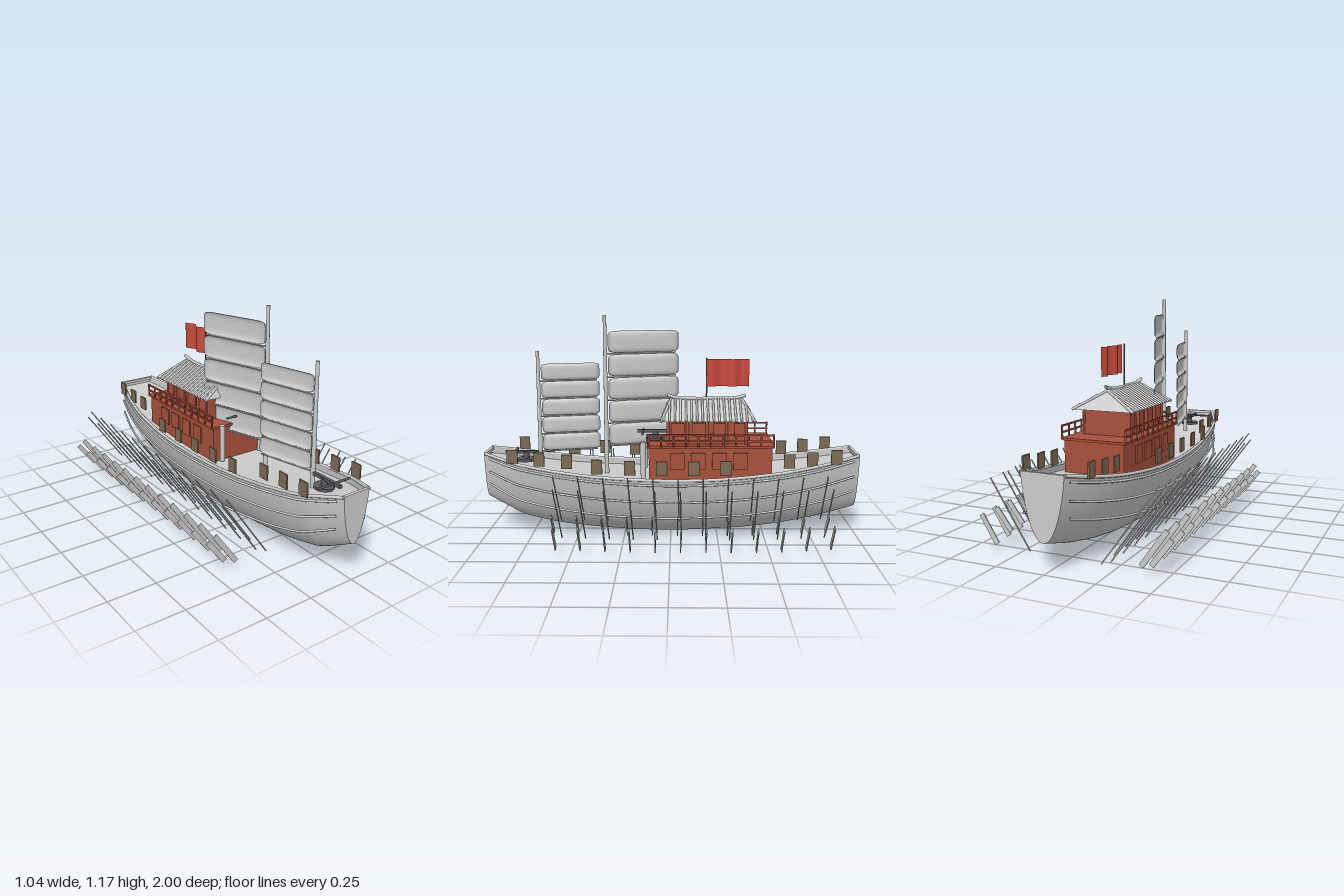
import * as THREE from 'three';
import { ParametricGeometry } from 'three/addons/geometries/ParametricGeometry.js';

const V = (x, y, z) => new THREE.Vector3(x, y, z);
const grey = new THREE.MeshStandardMaterial({ color: 0xcccccc, side: THREE.DoubleSide });
const flatGrey = new THREE.MeshStandardMaterial({ color: 0xcccccc, side: THREE.DoubleSide, flatShading: true });
const red = new THREE.MeshStandardMaterial({ color: 0xa8503c });
const flagRed = new THREE.MeshStandardMaterial({ color: 0xc84a3c, side: THREE.DoubleSide });
const brown = new THREE.MeshStandardMaterial({ color: 0x7d6b55 });
const iron = new THREE.MeshStandardMaterial({ color: 0x5a5c62 });

function add(parent, name, geometry, material, x = 0, y = 0, z = 0) {
  const m = new THREE.Mesh(geometry, material);
  m.name = name;
  m.position.set(x, y, z);
  parent.add(m);
  return m;
}
const box = (p, name, mat, w, h, d, x, y, z) => add(p, name, new THREE.BoxGeometry(w, h, d), mat, x, y, z);
const disc = (p, name, mat, r, h, x, y, z) => add(p, name, new THREE.CylinderGeometry(r, r, h, 24), mat, x, y, z);

// Round bar between two points
function rod(p, name, mat, a, b, r, r2 = r, sides = 8) {
  const m = add(p, name, new THREE.CylinderGeometry(r2, r, a.distanceTo(b), sides), mat);
  m.position.copy(a).add(b).multiplyScalar(0.5);
  m.quaternion.setFromUnitVectors(V(0, 1, 0), b.clone().sub(a).normalize());
  return m;
}
function group(parent, name) {
  const g = new THREE.Group();
  g.name = name;
  parent.add(g);
  return g;
}

// Hull stations every 0.2 along z: half width, sheer height, keel height
const stations = new THREE.CatmullRomCurve3([
  V(0.108, 0.445, 0.14), V(0.165, 0.405, 0.085), V(0.205, 0.375, 0.045), V(0.225, 0.355, 0.02),
  V(0.235, 0.342, 0.008), V(0.235, 0.338, 0), V(0.23, 0.342, 0.004), V(0.215, 0.352, 0.018),
  V(0.193, 0.372, 0.04), V(0.163, 0.402, 0.085), V(0.078, 0.445, 0.19)]);
function station(z) {
  const p = stations.getPoint((z + 1) / 2);
  return { w: p.x, top: p.y, keel: Math.max(0, p.z) };
}
// Point on the hull skin: f runs -1 (one rail) through 0 (keel) to 1 (other rail)
function skin(f, z) {
  const s = station(z), t = f * f;
  const bulge = (Math.abs(f) + Math.sqrt(Math.max(0, 1 - (1 - t) ** 2))) / 2;
  return V(Math.sign(f) * s.w * bulge, s.keel + (s.top - s.keel) * t, z);
}

function buildHull(root) {
  const hull = group(root, 'hull');
  add(hull, 'hullSkin', new ParametricGeometry((u, v, t) => t.copy(skin(v * 2 - 1, u * 2 - 1)), 60, 40), grey);
  for (const z of [-1, 1]) {
    const pts = [];
    for (let i = 0; i <= 32; i++) {
      const p = skin(i / 16 - 1, z);
      pts.push(new THREE.Vector2(p.x, p.y));
    }
    add(hull, z > 0 ? 'bowPlate' : 'sternTransom', new THREE.ShapeGeometry(new THREE.Shape(pts)), grey, 0, 0, z);
  }
  add(hull, 'deck', new ParametricGeometry((u, v, t) => {
    const z = (u * 2 - 1) * 0.995, s = station(z);
    t.set((v * 2 - 1) * (s.w - 0.008), s.top - 0.03, z);
  }, 40, 2), grey);
  for (const side of [-1, 1]) {
    add(hull, 'bulwark', new ParametricGeometry((u, v, t) => {
      const z = (u * 2 - 1) * 0.995, s = station(z);
      t.set(side * (s.w - 0.014), s.top - 0.03 * v, z);
    }, 40, 1), grey);
    // Rail and side strakes
    [[1, 0.995, 0.009, 0.99], [0.92, 0.97, 0.006, 1], [0.65, 0.97, 0.006, 0.99], [0.4, 0.97, 0.006, 0.98]].forEach(([h, end, r, k], i) => {
      const pts = [];
      for (let j = 0; j <= 24; j++) {
        const z = end * (j / 12 - 1), s = station(z);
        pts.push(V(side * s.w * k, s.keel + (s.top - s.keel) * h, z));
      }
      add(hull, i ? 'strake' : 'rail', new THREE.TubeGeometry(new THREE.CatmullRomCurve3(pts), 60, r, 6), grey);
    });
  }
  box(hull, 'sternRail', grey, 0.21, 0.016, 0.016, 0, 0.44, -0.992);
  box(hull, 'bowRail', grey, 0.15, 0.016, 0.016, 0, 0.44, 0.992);
}

function buildCabin(root) {
  const cabin = group(root, 'cabin');
  box(cabin, 'lowerHouse', red, 0.32, 0.19, 0.645, 0, 0.405, -0.208);
  box(cabin, 'upperDeck', red, 0.345, 0.012, 0.665, 0, 0.503, -0.208);
  box(cabin, 'upperHouse', red, 0.235, 0.13, 0.42, 0, 0.57, -0.19);
  for (const s of [-1, 1]) {
    for (let i = 0; i < 4; i++) {
      const z = -0.035 - i * 0.11;
      box(cabin, 'lowerWindow', red, 0.012, 0.09, 0.075, s * 0.162, 0.425, z);
      box(cabin, 'upperWindow', red, 0.012, 0.07, 0.07, s * 0.12, 0.585, z - 0.003);
    }
    for (let i = 0; i < 5; i++) disc(cabin, 'column', red, 0.008, 0.13, s * 0.123, 0.57, 0.015 - i * 0.1025);
    // Gallery railing
    for (let i = 0; i < 11; i++) disc(cabin, 'railPost', red, 0.005, 0.07, s * 0.17, 0.537, 0.115 - i * 0.065);
    for (const y of [0.535, 0.567]) box(cabin, 'handRail', red, 0.008, 0.008, 0.665, s * 0.17, y, -0.208);
  }

  // Hipped roof with tile rows
  const roof = group(cabin, 'roof');
  const zf = 0.05, zb = -0.44, rf = 0, rb = -0.38, ex = 0.167, ey = 0.635, ry = 0.73;
  const g = new THREE.BufferGeometry();
  g.setAttribute('position', new THREE.Float32BufferAttribute(
    [-ex, ey, zf, ex, ey, zf, ex, ey, zb, -ex, ey, zb, 0, ry, rf, 0, ry, rb], 3));
  g.setIndex([0, 1, 4, 1, 2, 5, 1, 5, 4, 2, 3, 5, 3, 0, 4, 3, 4, 5, 0, 2, 1, 0, 3, 2]);
  g.computeVertexNormals();
  add(roof, 'roofShell', g, flatGrey);
  for (const s of [-1, 1]) for (let i = 0; i < 17; i++) {
    const z = 0.035 - i * 0.0288;
    const f = z > rf ? (z - rf) / (zf - rf) : z < rb ? (rb - z) / (rb - zb) : 0;
    rod(roof, 'tileRow', grey, V(s * ex, ey + 0.003, z), V(s * ex * f, ry - (ry - ey) * f + 0.004, z), 0.006);
    for (const [a, b] of [[zf, rf], [zb, rb]]) if (!i) rod(roof, 'hipRidge', grey, V(s * ex, ey, a), V(0, ry, b), 0.007);
  }
  const ridge = new THREE.CatmullRomCurve3([V(0, 0.75, 0.02), V(0, 0.737, -0.03), V(0.006, 0.733, -0.13),
    V(-0.006, 0.733, -0.25), V(0, 0.737, -0.35), V(0, 0.75, -0.4)]);
  add(roof, 'ridgeCap', new THREE.TubeGeometry(ridge, 30, 0.009, 8), grey);

  // Flag
  rod(cabin, 'flagPole', iron, V(0, 0.73, -0.19), V(0, 0.95, -0.19), 0.004);
  add(cabin, 'flag', new ParametricGeometry((u, v, t) =>
    t.set(0.011 + 0.012 * Math.sin(u * 13), 0.8 + 0.145 * v, -0.19 - 0.225 * u), 30, 4), flagRed);
}

// Mast with battened sail swung towards -x
function buildMast(root, name, z, base, top, len, swing, low, high) {
  const g = group(root, name);
  rod(g, 'mast', grey, V(0, base, z), V(0, top, z), 0.012, 0.009, 12);
  const n = 5, h = (high - low) / n;
  for (let i = 0; i < n; i++) {
    add(g, 'sailPanel', new ParametricGeometry((u, v, t) => {
      const a = u * 2 - 1, b = v * 2 - 1;
      const along = 0.5 + 0.5 * a * (1 - 0.05 * b ** 8);
      const bulge = 0.016 * Math.sqrt((1 - a ** 4) * (1 - b ** 4));
      t.set(-swing * along + bulge, low + h * (i + 0.5) + 0.47 * h * b * (1 - 0.12 * a ** 12), z - 0.015 - len * along);
    }, 20, 16), grey);
    rod(g, 'batten', grey, V(0, low + h * i, z), V(-swing, low + h * i, z - len), 0.004);
  }
}

// Mounted crossbow on a turntable
function buildCrossbow(root, y, z, length) {
  const g = group(root, 'crossbow');
  g.position.set(0, y, z);
  disc(g, 'turntable', iron, 0.05, 0.014, 0, 0, 0);
  disc(g, 'pivot', iron, 0.016, 0.04, 0, 0.02, 0);
  box(g, 'stock', iron, 0.018, 0.016, length, 0, 0.04, 0.01);
  rod(g, 'bow', iron, V(-0.1, 0.04, 0.065), V(0.1, 0.04, 0.065), 0.006);
}

function buildOars(root) {
  const oars = group(root, 'oars');
  // Shafts and blades in the cross plane: x, y of both ends
  const right = { shafts: [[0.36, 0.385, 0.17, 0.1], [0.45, 0.345, 0.235, 0.02]], blades: [[0.43, 0.2, 0.35, 0.095], [0.505, 0.165, 0.42, 0.03]], lean: 0.006 };
  const left = { shafts: [[0.44, 0.385, 0.175, 0.01], [0.455, 0.35, 0.228, 0.03]], blades: [[0.487, 0.2, 0.365, 0.025], [0.515, 0.168, 0.42, 0.04]], lean: 0.035 };
  for (const [s, set] of [[1, right], [-1, left]]) for (let i = 0; i < 12; i++) {
    const z = 0.585 - i * 0.126;
    const dx = s > 0 ? 0.7 * (station(z).w - 0.235) : 0;
    const oar = group(oars, 'oar');
    set.shafts.forEach(([x1, y1, x2, y2], k) => rod(oar, 'oarShaft', grey,
      V(s * (x1 + dx), y1, z + set.lean - k * 0.012), V(s * (x2 + dx), y2, z - k * 0.012), 0.0035, 0.0035, 6));
    set.blades.forEach(([x1, y1, x2, y2], k) => {
      const m = box(oar, 'oarBlade', grey, 0.026, Math.hypot(x1 - x2, y1 - y2), 0.006,
        s * ((x1 + x2) / 2 + dx), (y1 + y2) / 2, z + (k ? -0.008 : 0.008));
      m.rotation.z = -s * Math.atan2(x1 - x2, y1 - y2);
    });
  }
}

export function createModel() {
  const root = new THREE.Group();
  root.name = 'warship';
  buildHull(root);
  buildCabin(root);
  buildMast(root, 'mainMast', 0.35, 0.32, 1.175, 0.375, 0.11, 0.47, 1.095);
  buildMast(root, 'foreMast', 0.71, 0.35, 0.985, 0.305, 0.07, 0.44, 0.92);
  buildCrossbow(root, 0.395, 0.79, 0.2);
  buildCrossbow(root, 0.515, 0.085, 0.17);
  for (const s of [-1, 1]) disc(root, 'bollard', grey, 0.014, 0.2, s * 0.125, 0.42, 0.145);
  // Shields along both sides
  for (const s of [-1, 1]) for (const z of [0.83, 0.69, 0.545, 0.38, 0.21, 0.045, -0.12, -0.285, -0.62, -0.74, -0.865]) {
    const x = Math.abs(z) > 0.5 ? 0.165 : 0.232;
    box(root, 'shield', brown, 0.008, 0.075, 0.057, s * x, 0.402 + 0.065 * z * z, z);
  }
  buildOars(root);
  return root;
}
